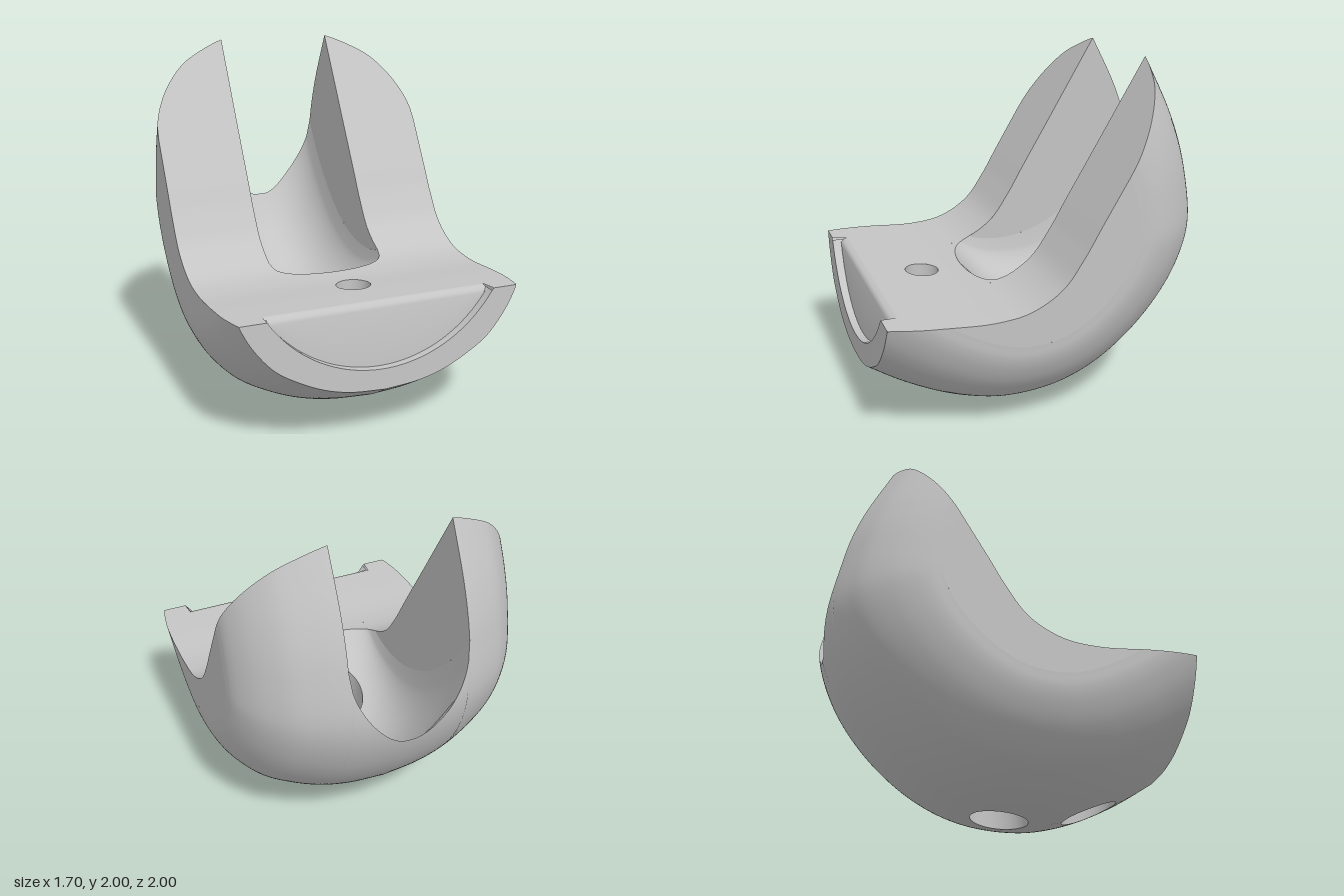
import * as THREE from 'three';
import { toCreasedNormals } from 'three/addons/utils/BufferGeometryUtils.js';

// Sections lie in the (z, y) plane and are traced with rays from point C above the seat.
const C = { z: 0.3, y: 1.5 };
const DEG = Math.PI / 180;

const spline = (pts, n) => new THREE.CatmullRomCurve3(pts.map(([a, b]) => new THREE.Vector3(a, b, 0))).getPoints(n);

// Keel outline, front to back
const keel = spline([[2.2, 1.2], [1.6, 0.72], [1, 0.302], [0.78, 0.168], [0.52, 0.055], [0.25, 0.001], [-0.1, 0.033],
  [-0.4, 0.16], [-0.7, 0.408], [-0.92, 0.72], [-1.018, 1.04], [-0.978, 1.4], [-0.89, 1.68], [-0.7, 2.055], [-0.3, 2.8]], 240);
// Seat and backrest outline, front to back
const seat = spline([[1.6, 0.8], [0.975, 0.775], [0.7, 0.76], [0.4, 0.745], [0.2, 0.775], [0.02, 0.88], [-0.1, 1.04],
  [-0.2, 1.21], [-0.4, 1.545], [-0.67, 2], [-1.1, 2.72]], 160);
// Slot floor outline along the middle
const floorLine = spline([[0.75, 1.3], [0.45, 0.9], [0.32, 0.745], [0.1, 0.545], [-0.2, 0.44], [-0.5, 0.475], [-0.8, 0.665],
  [-0.995, 0.905], [-1.25, 1.35], [-1.5, 2]], 120);
const frontPlane = [{ x: 0.952, y: 1.2 }, { x: 1.0275, y: -0.2 }];
const frontZ = y => 1 - (y - 0.31) * 0.0538;

// How far the hull rises from the keel at each distance from the middle
const STEPS = 96, SLOT = 24;
const rise = spline([[0, 0], [0.2, 0.015], [0.35, 0.048], [0.5, 0.108], [0.63, 0.182], [0.75, 0.308], [0.815, 0.42],
  [0.842, 0.5], [0.85, 0.575]], STEPS);
function riseAt(x) {
  const a = Math.min(Math.abs(x), 0.85);
  let i = 1;
  while (i < STEPS && rise[i].x < a) i++;
  const p = rise[i - 1], q = rise[i];
  return p.y + (q.y - p.y) * (a - p.x) / (q.x - p.x);
}

// Nearest distance from C to a polyline at a given angle
function hit(poly, angle) {
  const c = Math.cos(angle), s = Math.sin(angle);
  let best = 9;
  for (let i = 1; i < poly.length; i++) {
    const az = poly[i - 1].x - C.z, ay = poly[i - 1].y - C.y, bz = poly[i].x - C.z, by = poly[i].y - C.y;
    const ka = c * ay - s * az, kb = c * by - s * bz;
    if (ka * kb > 0 || ka === kb) continue;
    const t = ka / (ka - kb), r = c * (az + (bz - az) * t) + s * (ay + (by - ay) * t);
    if (r > 0 && r < best) best = r;
  }
  return best;
}

// Angle where a test changes from true to false
function bisect(test, lo, hi) {
  for (let i = 0; i < 24; i++) {
    const m = (lo + hi) / 2;
    if (test(m)) lo = m; else hi = m;
  }
  return (lo + hi) / 2;
}

// Everything needed to draw one section at x
function section(x, inSlot) {
  const d = riseAt(x), u = 1 - Math.sqrt(Math.max(0, 1 - (x / 0.35) ** 2));
  const hullLine = keel.map((p, i) => {
    const a = keel[Math.max(i - 1, 0)], b = keel[Math.min(i + 1, keel.length - 1)];
    const l = Math.hypot(b.x - a.x, b.y - a.y);
    return { x: p.x + d * (b.y - a.y) / l, y: p.y - d * (b.x - a.x) / l };
  });
  const slotLine = floorLine.map(p => ({
    x: p.x, y: p.y + u * THREE.MathUtils.mapLinear(Math.max(-1, Math.min(0.3, p.x)), 0.2, -0.95, 0.19, 0.6)
  }));
  const o = { x };
  o.seat = f => hit(seat, f);
  o.floor = f => hit(slotLine, f);
  o.hull = f => hit(hullLine, f);
  o.outer = f => Math.min(hit(frontPlane, f), o.hull(f));
  o.at = (f, r) => new THREE.Vector3(x, C.y + r * Math.sin(f), C.z + r * Math.cos(f));
  o.start = bisect(f => o.outer(f) < o.seat(f), -20 * DEG, -85 * DEG);
  o.frontEnd = bisect(f => hit(frontPlane, f) < o.hull(f), o.start, -85 * DEG);
  o.slotStart = bisect(f => o.floor(f) < o.seat(f), -47 * DEG, -125 * DEG);
  const top = inSlot ? o.floor : o.seat;
  o.end = bisect(f => top(f) < o.outer(f), -130 * DEG, -212 * DEG);
  o.recessed = Math.abs(x) < 0.66;
  o.seatStart = o.recessed ? -51.5 * DEG : o.start;
  o.line = (from, to, fn, n) => Array.from({ length: n + 1 }, (_, i) => {
    const f = from + (to - from) * i / n;
    return o.at(f, fn(f));
  });
  return o;
}

// Point of a surface directly above or below (x, z)
function pointAt(x, z, key) {
  const s = section(x, true);
  const f = bisect(a => C.z + s[key](a) * Math.cos(a) > z, -50 * DEG, -130 * DEG);
  return s.at(f, s[key](f));
}

// Surface through neighbouring lines of points, with optional holes { z, r, k }, k times as long in z
function sheet(lines, flip, holes = [], key) {
  const m = lines[0].length, pts = lines.flat(), index = [];
  const inside = pts.map(p => holes.some(h => {
    const dist = Math.hypot(p.x, (p.z - h.z) / h.k);
    if (Math.abs(dist - h.r) < 0.02) {
      const t = h.r / dist;
      p.copy(pointAt(p.x * t, h.z + (p.z - h.z) * t, key));
      return true;
    }
    return dist < h.r;
  }));
  const tri = (a, b, c) => {
    if (!(inside[a] && inside[b] && inside[c])) index.push(a, flip ? c : b, flip ? b : c);
  };
  for (let i = 0; i + 1 < lines.length; i++) for (let j = 0; j + 1 < m; j++) {
    const a = i * m + j, b = a + m;
    tri(a, b, a + 1);
    tri(b, b + 1, a + 1);
  }
  const g = new THREE.BufferGeometry().setFromPoints(pts);
  g.setIndex(index);
  g.computeVertexNormals();
  return g;
}

export function createModel() {
  const group = new THREE.Group();
  const grey = new THREE.MeshStandardMaterial({ color: 0xc4c4c4, side: THREE.DoubleSide });
  grey.name = 'plain grey';
  const add = (name, geometry) => {
    const mesh = new THREE.Mesh(geometry, grey);
    mesh.name = name;
    group.add(mesh);
  };

  // Sections for the left arm, the slotted middle and the right arm
  const xs = rise.map(p => p.x);
  const half = xs.slice(0, SLOT + 1), wing = xs.slice(SLOT);
  const middle = [...half.slice(1).reverse().map(x => -x), ...half].map(x => section(x, true));
  const left = wing.map(x => section(x, false));
  const right = wing.map(x => -x).reverse().map(x => section(x, false));
  const all = [...right, ...middle, ...left];

  const bigTop = { z: 0, r: 0.165, k: 1.16 }, bigBottom = { z: 0.06, r: 0.165, k: 1 };
  const smallTop = { z: 0.57, r: 0.098, k: 1 }, smallBottom = { z: 0.595, r: 0.16, k: 1 };

  // Rounded hull, seat and slot floor; the arms share the middle's hull points up to the slot exit
  const slotExit = middle[0].end;
  const hullOf = s => {
    const split = Math.max(slotExit, s.end + 0.01);
    return [...s.line(s.frontEnd, split, s.hull, 90), ...s.line(split, s.end, s.hull, 24).slice(1)];
  };
  add('leftHull', sheet(left.map(hullOf), true));
  add('rightHull', sheet(right.map(hullOf), true));
  add('middleHull', sheet(middle.map(s => s.line(s.frontEnd, s.end, s.hull, 90)), true, [bigBottom, smallBottom], 'hull'));
  const seatOf = s => s.line(s.seatStart, s.end, s.seat, 90);
  add('leftSeat', sheet(left.map(seatOf), false));
  add('rightSeat', sheet(right.map(seatOf), false));
  add('middleSeat', sheet(middle.map(s => s.line(s.seatStart, s.slotStart, s.seat, 36)), false, [smallTop], 'seat'));
  add('slotFloor', sheet(middle.map(s => s.line(s.slotStart, s.end, s.floor, 80)), false, [bigTop], 'floor'));

  // Flat outer sides and slot walls
  for (const [side, name, s, w] of [[1, 'left', left.at(-1), left[0]], [-1, 'right', right[0], right.at(-1)]]) {
    add(name + 'Side', sheet([s.line(s.start, s.end, s.seat, 90), s.line(s.start, s.end, s.outer, 90)], side < 0));
    const bottom = f => Math.min(w.floor(f), w.outer(f));
    add(name + 'SlotWall', sheet([w.line(w.slotStart, w.end, w.seat, 90), w.line(w.slotStart, w.end, bottom, 90)], side > 0));
  }

  // Front rim with a shallow recess under the rounded seat edge
  const recessY = x => 1.211 - Math.sqrt(0.791 ** 2 - x * x);
  const rimTop = s => s.recessed ? new THREE.Vector3(s.x, recessY(s.x), frontZ(recessY(s.x))) : s.at(s.start, s.seat(s.start));
  add('frontRim', sheet(all.map(s => [rimTop(s), s.at(s.frontEnd, s.hull(s.frontEnd))]), true));
  const inner = all.filter(s => s.recessed);
  const faceOf = s => [[0.762, 0.907], [0.752, 0.919], [0.735, 0.925], [0, 0.95]].map(([y, z]) => {
    const yy = Math.max(y, recessY(s.x));
    return new THREE.Vector3(s.x, yy, y ? z : 0.925 + Math.max(0, 0.735 - yy) * 0.08);
  });
  add('recessFace', toCreasedNormals(sheet(inner.map(s => [s.at(s.seatStart, s.seat(s.seatStart)), ...faceOf(s)]), true), 0.6));
  add('recessLedge', sheet(inner.map(s => [faceOf(s)[3], rimTop(s)]), true));

  // Walls of the two through holes
  const ring = (h, key) => Array.from({ length: 49 }, (_, i) => {
    const a = i / 24 * Math.PI;
    return pointAt(h.r * Math.cos(a), h.z + h.k * h.r * Math.sin(a), key);
  });
  add('largeHoleWall', sheet([ring(bigTop, 'floor'), ring(bigBottom, 'hull')], true));
  const top = ring(smallTop, 'seat'), bottom = ring(smallBottom, 'hull');
  const step = [0.1, 0.16].map(r => ring({ z: 0.585, r, k: 1 }, 'hull').map(p => p.setY(0.4)));
  add('smallHoleWall', toCreasedNormals(sheet([top, ...step, bottom], true), 0.5));
  return group;
}
